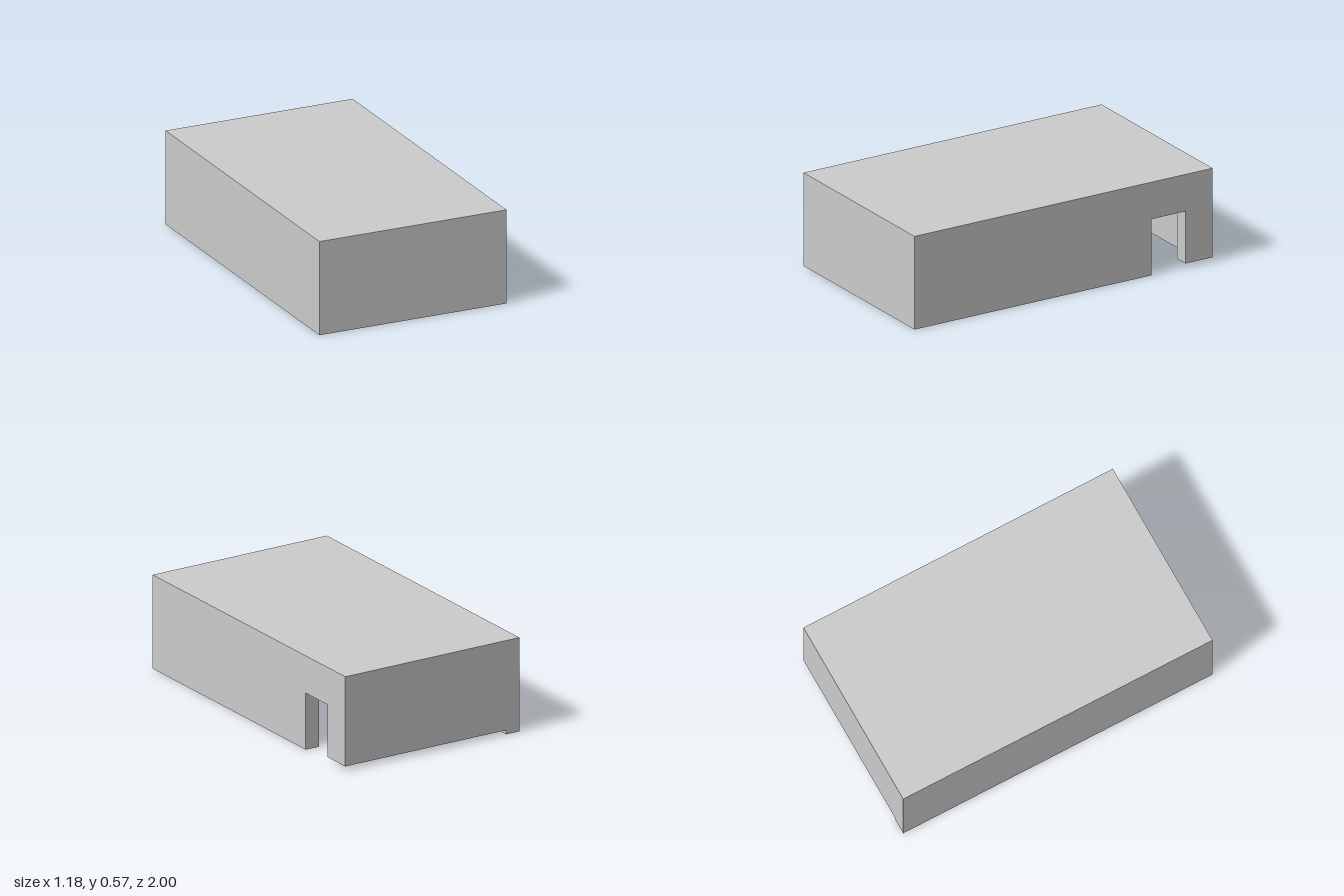
import * as THREE from 'three';

// Overall half width, height, half length, and the shell thicknesses
const W = 0.59, H = 0.567, L = 1, WALL = 0.09, ROOF = 0.047;
const UNDER = H - ROOF; // underside of the roof
const STEP = 0.025; // gap below the raised back edge

export function createModel() {
  const group = new THREE.Group();
  group.name = 'openBottomCover';
  const grey = new THREE.MeshStandardMaterial({ color: 0xcccccc });
  grey.name = 'light grey';

  const add = (name, geometry) => {
    const mesh = new THREE.Mesh(geometry, grey);
    mesh.name = name;
    group.add(mesh);
  };

  // Box given by its lower and upper corners
  const box = (name, [x0, y0, z0], [x1, y1, z1]) => {
    const g = new THREE.BoxGeometry(x1 - x0, y1 - y0, z1 - z0);
    g.translate((x0 + x1) / 2, (y0 + y1) / 2, (z0 + z1) / 2);
    add(name, g);
  };

  box('roof', [-W, UNDER, -L], [W, H, L]);
  box('plainSideWall', [-W, 0, -L], [-W + WALL, UNDER, L]);
  box('frontWall', [-W + WALL, 0, L - WALL], [W - WALL, UNDER, L]);
  box('backWall', [-W + WALL, STEP, -L], [W - WALL, UNDER, -L + WALL]);

  // Side wall with a tall notch and a raised foot; profile is (-z, y)
  const profile = [
    [-L, 0], [0.59, 0], [0.59, 0.342], [0.818, 0.342],
    [0.818, STEP], [L, STEP], [L, UNDER], [-L, UNDER],
  ];
  const shape = new THREE.Shape(profile.map(([a, y]) => new THREE.Vector2(a, y)));
  const notched = new THREE.ExtrudeGeometry(shape, { depth: WALL, bevelEnabled: false });
  notched.rotateY(Math.PI / 2).translate(W - WALL, 0, 0);
  add('notchedSideWall', notched);

  return group;
}
